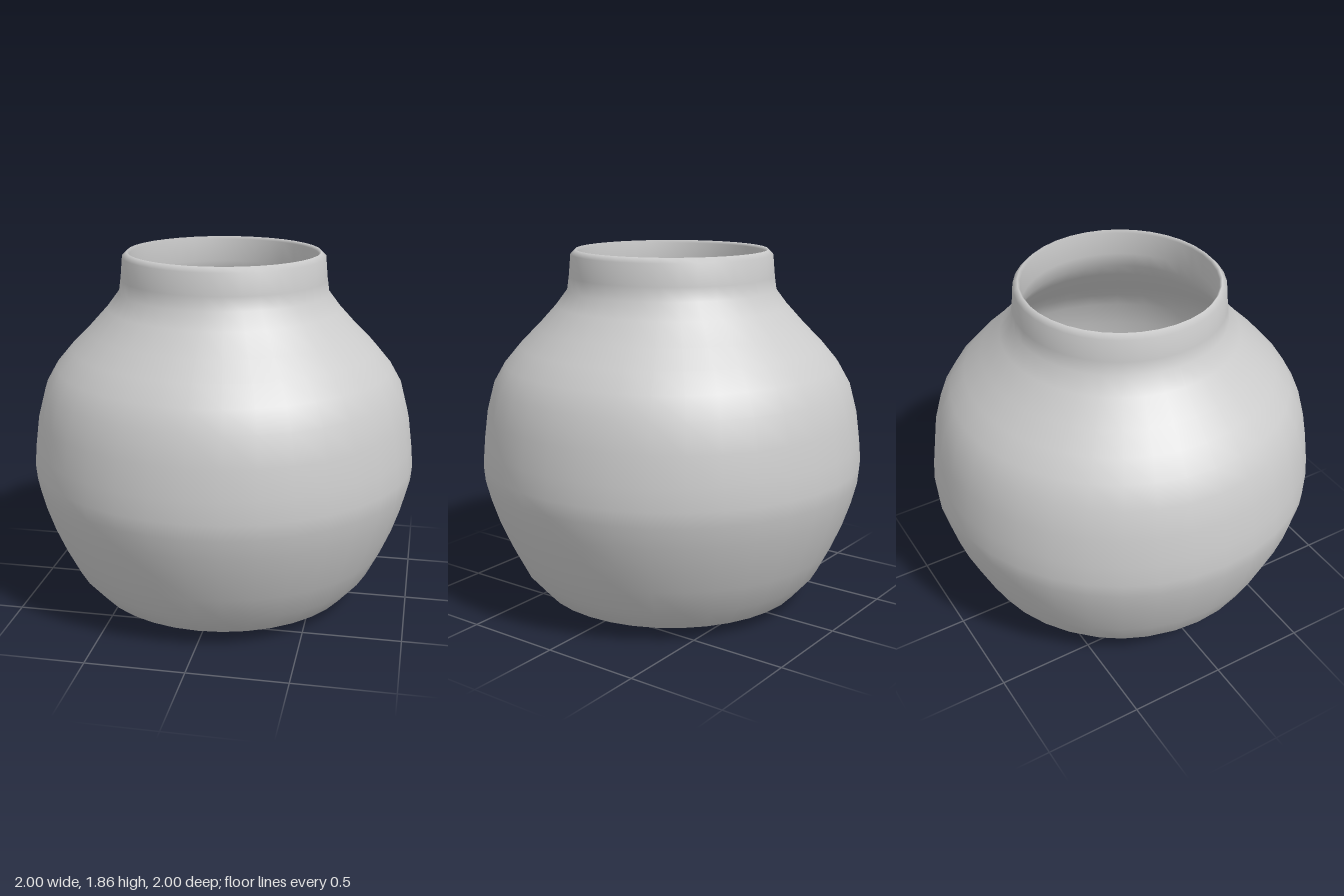
import * as THREE from 'three';

// Hollow round pot turned from one profile
export function createModel() {
  const group = new THREE.Group();
  const material = new THREE.MeshStandardMaterial({ color: 0xcccccc, side: THREE.DoubleSide });

  // Outer profile from the base to the rim: [radius, height]
  const outer = [
    [0, 0], [0.43, 0.005], [0.6, 0.025], [0.7, 0.065], [0.8, 0.18], [0.87, 0.32],
    [0.925, 0.45], [0.965, 0.57], [0.993, 0.68], [1, 0.76], [0.99, 0.87], [0.97, 1.02], [0.93, 1.17],
    [0.87, 1.275], [0.79, 1.37], [0.7, 1.46], [0.6, 1.57], [0.54, 1.65],
    [0.53, 1.72], [0.52, 1.83], [0.495, 1.855],
  ];
  // Inner profile from the rim down to the floor
  const inner = [
    [0.483, 1.84], [0.485, 1.72], [0.5, 1.64], [0.57, 1.55], [0.67, 1.44],
    [0.76, 1.35], [0.84, 1.26], [0.9, 1.16], [0.94, 1.01], [0.96, 0.87], [0.97, 0.74],
    [0.935, 0.58], [0.895, 0.46], [0.84, 0.33], [0.77, 0.2], [0.68, 0.1],
    [0.59, 0.055], [0.43, 0.04], [0, 0.04],
  ];
  const profile = [...outer, ...inner].map(([r, y]) => new THREE.Vector2(r, y));

  const pot = new THREE.Mesh(new THREE.LatheGeometry(profile, 36), material);
  pot.name = 'pot';
  group.add(pot);
  return group;
}
